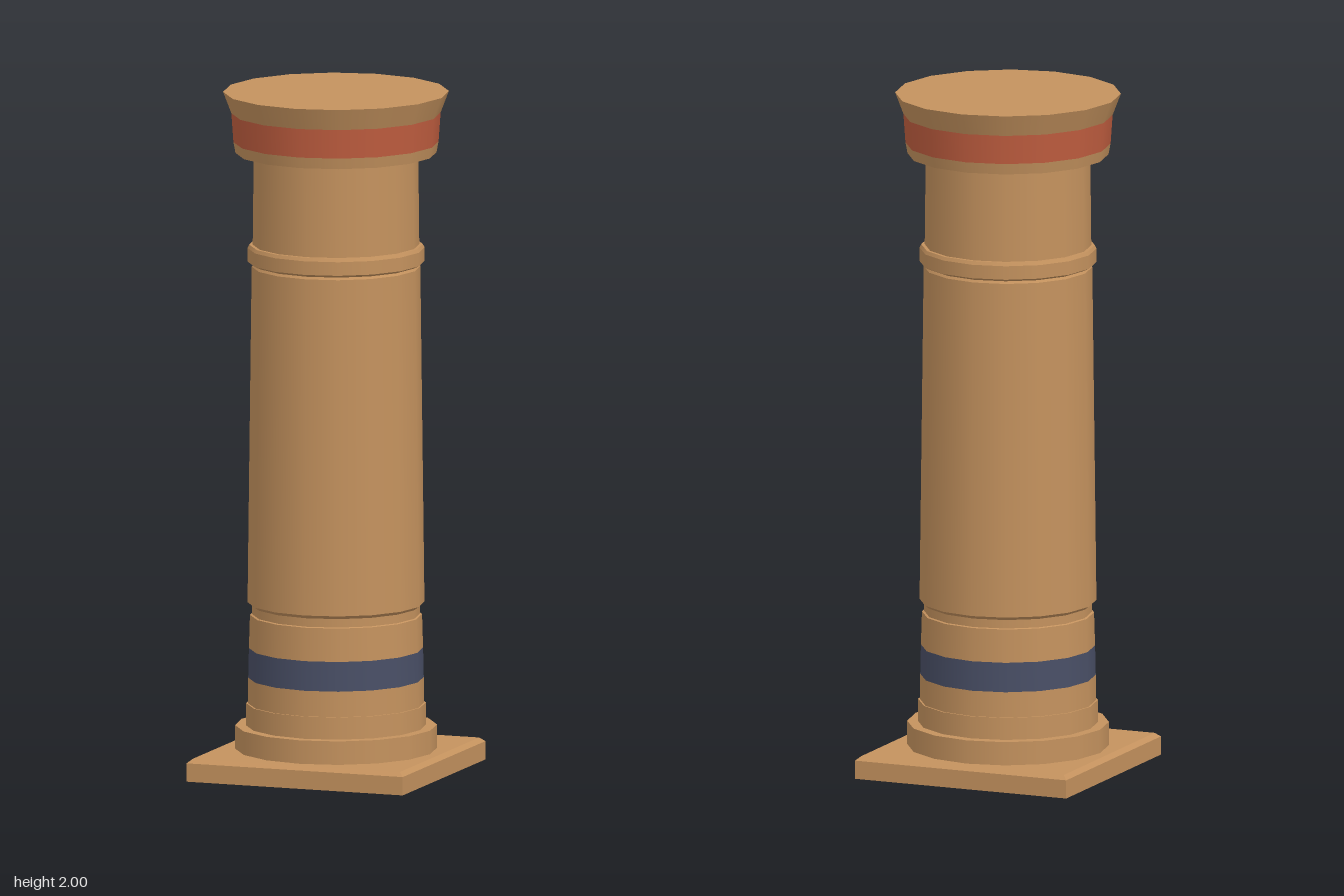
import * as THREE from 'three';
import { mergeGeometries } from 'three/addons/utils/BufferGeometryUtils.js';

const material = (name, color, extra = {}) =>
  Object.assign(new THREE.MeshStandardMaterial({ color, ...extra }), { name });

// Revolve a [radius, y] profile (bottom to top); every profile corner stays sharp.
function turned(profile, sides = 16, phi = 0) {
  const rings = [];
  for (let i = 0; i < profile.length - 1; i++) {
    const pair = [profile[i], profile[i + 1]].map(([r, y]) => new THREE.Vector2(r, y));
    rings.push(new THREE.LatheGeometry(pair, sides, phi));
  }
  return mergeGeometries(rings);
}

export function createModel() {
  const sandstone = material('sandstone', 0xc4925e, { side: THREE.DoubleSide });
  const red = material('redPaint', 0xbf5d3f);
  const blue = material('bluePaint', 0x494f66);

  const group = new THREE.Group();
  group.name = 'column';
  const add = (name, geometry, mat) => {
    const mesh = new THREE.Mesh(geometry, mat);
    mesh.name = name;
    group.add(mesh);
  };

  // Square plinth with a bevelled top edge, hollow underneath
  const d = Math.SQRT2;
  const plinth = turned(
    [[0.336 * d, 0], [0.336 * d, 0.054], [0.322 * d, 0.066], [0, 0.066]], 4, Math.PI / 4
  ).toNonIndexed();
  plinth.computeVertexNormals();
  add('plinth', plinth, sandstone);

  // Round foot and pedestal, split around the blue band
  add('foot', turned([[0, 0.06], [0.293, 0.06], [0.293, 0.135], [0.262, 0.135]]), sandstone);
  add('lowerPedestal', turned([[0.262, 0.135], [0.261, 0.2], [0.256, 0.2], [0.255, 0.275]]), sandstone);
  add('blueBand', turned([[0.255, 0.275], [0.253, 0.362]]), blue);
  add('upperPedestal', turned([[0.253, 0.362], [0.25, 0.46], [0.244, 0.462], [0.244, 0.487]]), sandstone);

  // Tapering shaft
  add('shaft', turned([[0.244, 0.487], [0.257, 0.497], [0.245, 1.485], [0.24, 1.492]]), sandstone);

  // Raised collar and neck
  add('collar', turned([[0.24, 1.492], [0.257, 1.5], [0.257, 1.54], [0.252, 1.55], [0.242, 1.55]]), sandstone);
  add('neck', turned([[0.242, 1.55], [0.239, 1.82]]), sandstone);

  // Flared capital with a red band
  add('capitalBase', turned([[0.239, 1.82], [0.292, 1.82], [0.298, 1.852]]), sandstone);
  add('redBand', turned([[0.298, 1.852], [0.304, 1.937]]), red);
  add('capitalTop', turned([[0.304, 1.937], [0.328, 2], [0, 2]]), sandstone);

  return group;
}
